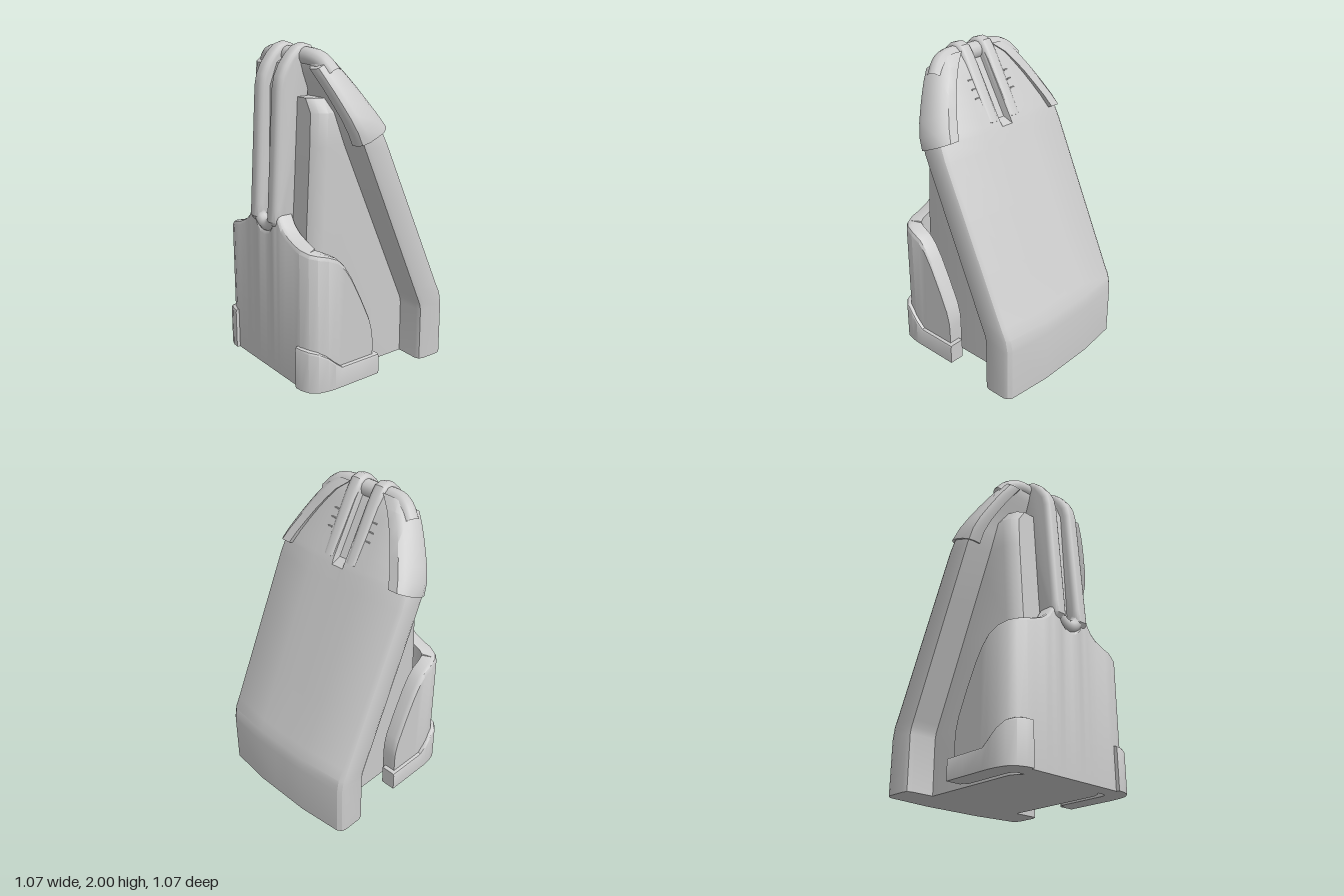
import * as THREE from 'three';
import { toCreasedNormals } from 'three/addons/utils/BufferGeometryUtils.js';

const material = new THREE.MeshStandardMaterial({ color: 0xcccccc, side: THREE.DoubleSide });

// Linear lookup in a list of [key, value] pairs
function ramp(table, k) {
  if (k <= table[0][0]) return table[0][1];
  for (let i = 1; i < table.length; i++) {
    const [a, va] = table[i - 1], [b, vb] = table[i];
    if (k <= b) return va + (vb - va) * (k - a) / (b - a);
  }
  return table[table.length - 1][1];
}

// Capped skin over rings of [x, y, z] points, turned outward by its signed volume
function loft(rings, crease = 0.6) {
  const n = rings[0].length, pos = rings.flat(2), idx = [];
  for (let i = 0; i < rings.length - 1; i++) {
    for (let j = 0; j < n; j++) {
      const a = i * n + j, b = i * n + (j + 1) % n;
      idx.push(a, b, b + n, a, b + n, a + n);
    }
  }
  for (const [start, flip] of [[0, true], [(rings.length - 1) * n, false]]) {
    const ring = start ? rings[rings.length - 1] : rings[0];
    const c = pos.length / 3;
    pos.push(...[0, 1, 2].map((k) => ring.reduce((s, p) => s + p[k], 0) / n));
    for (let j = 0; j < n; j++) {
      const a = start + j, b = start + (j + 1) % n;
      idx.push(c, ...(flip ? [b, a] : [a, b]));
    }
  }
  const v = (i) => new THREE.Vector3().fromArray(pos, i * 3);
  let volume = 0;
  for (let i = 0; i < idx.length; i += 3) volume += v(idx[i]).dot(v(idx[i + 1]).cross(v(idx[i + 2])));
  if (volume < 0) idx.reverse();
  const g = new THREE.BufferGeometry();
  g.setAttribute('position', new THREE.Float32BufferAttribute(pos, 3));
  g.setIndex(idx);
  return toCreasedNormals(g, crease);
}

// Side profile of [z, y] points extruded across x with a rounded edge
function sideExtrude(points, width, bevel) {
  const shape = new THREE.Shape(points.map(([z, y]) => new THREE.Vector2(z, y)));
  const g = new THREE.ExtrudeGeometry(shape, {
    depth: width - 2 * bevel, bevelThickness: bevel, bevelSize: bevel, bevelOffset: -bevel, bevelSegments: 4,
  });
  g.translate(0, 0, bevel - width / 2).rotateY(-Math.PI / 2);
  return toCreasedNormals(g, 0.6);
}

// Upright wall along a plan path of [x, z, height] stations, with a bevelled top
function wall(path, thick, bevel) {
  return loft(path.map(([x, z, h], i) => {
    const p = path[Math.max(i - 1, 0)], q = path[Math.min(i + 1, path.length - 1)];
    const len = Math.hypot(q[0] - p[0], q[1] - p[1]);
    const nx = (q[1] - p[1]) / len, nz = -(q[0] - p[0]) / len;
    const at = (d, y) => [x + nx * d, y, z + nz * d];
    return [at(0, 0), at(0, h - bevel), at(bevel * 0.35, h - bevel * 0.3), at(bevel, h), at(thick, h), at(thick, 0)];
  }));
}

// Outline of the leaning back shell by height
const halfWidth = (y) => ramp([[1.45, 0.525], [1.54, 0.515], [1.63, 0.475], [1.78, 0.39], [1.88, 0.32], [1.94, 0.26], [1.97, 0.2]], y);
const backZ = (y) => ramp([[0, -0.535], [0.34, -0.535], [0.42, -0.52], [0.49, -0.485], [1.53, -0.01], [1.9, 0.2], [1.96, 0.25]], y);
const frontZ = (y) => ramp([[0.36, -0.3], [1.43, 0.17], [1.86, 0.325], [1.9, 0.33], [1.96, 0.3]], y);

function backShell() {
  const ys = [0, 0.34, 0.38, 0.42, 0.49, 0.8, 1.1, 1.43, 1.52, 1.55, 1.63, 1.7, 1.78, 1.83, 1.88, 1.92, 1.95];
  return loft(ys.map((y) => {
    const w = halfWidth(y), b = backZ(y), f = frontZ(y);
    const slot = y > 1.53 ? Math.min(0.05, (f - b) * 0.5) : 0;
    const crown = 0.03 * Math.min(1, (f - b) / 0.2);
    const half = [[0.04, b + slot], [0.046, b], [0.2, b], [w - 0.035, b + crown], [w - 0.01, b + crown * 1.6],
      [w, b + crown * 2.4], [w, f - 0.04], [w - 0.01, f - 0.012], [w - 0.035, f]];
    const mirror = half.map(([x, z]) => [-x, z]).reverse();
    return [...half, ...mirror].map(([x, z]) => [x, y, z]);
  }), 0.5);
}

// Thick sleeve gripping the shoulder of the back shell, cut square to its lean
function shoulderSleeve(side) {
  const section = [[0.1, 0], [0.035, 0], [0.008, 0.12], [-0.014, 0.3], [-0.014, 0.75], [0.005, 0.93], [0.035, 1], [0.08, 1]];
  return loft([1.49, 1.56, 1.64, 1.72, 1.79, 1.85, 1.91].map((s) => section.map(([inset, t]) => {
    const y = s + 0.045 - 0.09 * t;
    const b = backZ(y) - 0.015, f = frontZ(y) + 0.02;
    return [side * (halfWidth(y) - inset), y, b + (f - b) * t];
  })));
}

// Inner body between back shell and front cover
function coreBody() {
  return loft([[0, 0.34], [0.36, 0.34], [0.9, 0.34], [1.43, 0.34], [1.62, 0.335], [1.7, 0.28]].map(([y, w]) => {
    const f = ramp([[0, 0.42], [0.9, 0.4], [1.7, 0.355]], y), b = (backZ(y) + frontZ(y)) / 2;
    const half = [[w, b], [w, f - 0.08], [w - 0.02, f - 0.03], [w - 0.06, f]];
    return [...half, ...half.map(([x, z]) => [-x, z]).reverse()].map(([x, z]) => [x, y, z]);
  }));
}

export function createModel() {
  const root = new THREE.Group();
  const add = (name, geometry, x = 0, y = 0, z = 0) => {
    const mesh = new THREE.Mesh(geometry, material);
    mesh.name = name;
    mesh.position.set(x, y, z);
    root.add(mesh);
    return mesh;
  };

  add('backShell', backShell());
  add('coreBody', coreBody());

  // Front cover: stations from the centre notch round the corner to the rear edge
  const half = [[0.04, 0.51, 0.91], [0.08, 0.51, 0.95], [0.12, 0.51, 1.03], [0.145, 0.51, 1.01], [0.18, 0.51, 0.955],
    [0.23, 0.51, 0.915], [0.3, 0.51, 0.885], [0.36, 0.508, 0.87], [0.42, 0.485, 0.855], [0.455, 0.445, 0.845],
    [0.473, 0.38, 0.83], [0.475, 0.31, 0.8], [0.475, 0.26, 0.75], [0.475, 0.21, 0.67], [0.475, 0.14, 0.53],
    [0.475, 0.075, 0.385], [0.475, 0.055, 0.31], [0.475, 0.05, 0.25]];
  const mirrored = half.map(([x, z, h]) => [-x, z, h]).reverse();
  add('frontCover', wall([...mirrored, [0, 0.51, 0.9], ...half], 0.1, 0.03));

  // Corner bumpers at the foot of the cover
  const bumper = [[0.34, 0.53, 0.265], [0.39, 0.525, 0.265], [0.44, 0.505, 0.262], [0.48, 0.46, 0.25], [0.495, 0.4, 0.215],
    [0.5, 0.35, 0.17], [0.5, 0.3, 0.13], [0.5, 0.15, 0.13], [0.5, 0.02, 0.13]];
  add('leftBumper', wall(bumper, 0.1, 0.015));
  add('rightBumper', wall(bumper.map(([x, z, h]) => [-x, z, h]).reverse(), 0.1, 0.015));

  // Twin ribs running up the front and over the top
  const rib = [[0.38, 0.93], [0.5, 0.93], [0.53, 0.97], [0.525, 1.05], [0.48, 1.75], [0.465, 1.82], [0.435, 1.88], [0.39, 1.94],
    [0.34, 1.985], [0.29, 2], [0.24, 1.985], [0.2, 1.93], [0, 1.56], [0.1, 1.5], [0.27, 1.72]];
  for (const [side, name] of [[1, 'left'], [-1, 'right']]) {
    add(name + 'Rib', sideExtrude(rib, 0.1, 0.035), side * 0.092);
    add(name + 'ShoulderSleeve', shoulderSleeve(side));
    // Small vent slits on the back beside the ribs
    for (let i = 0; i < 3; i++) {
      const y = 1.7 + i * 0.05;
      add(name + 'Vent', new THREE.BoxGeometry(0.03, 0.008, 0.012), side * 0.155, y, backZ(y));
    }
  }

  // Channel floor between the ribs and the bend joining them below
  add('channelFloor', sideExtrude([[0.3, 0.88], [0.45, 0.88], [0.42, 1.75], [0.37, 1.88], [0.31, 1.92], [0.26, 1.9], [0.2, 1.7], [0.3, 1.6]], 0.1, 0.005));
  add('ribBend', new THREE.TorusGeometry(0.08, 0.04, 10, 20, Math.PI).rotateZ(Math.PI), 0, 1.01, 0.485);

  // Rounded rim across the top of the back shell
  const rim = new THREE.CatmullRomCurve3([[-0.33, 1.83, 0.245], [-0.27, 1.895, 0.27], [-0.2, 1.92, 0.285], [0, 1.92, 0.285],
    [0.2, 1.92, 0.285], [0.27, 1.895, 0.27], [0.33, 1.83, 0.245]].map((p) => new THREE.Vector3(...p)));
  add('topRim', new THREE.TubeGeometry(rim, 32, 0.055, 12));

  return root;
}
